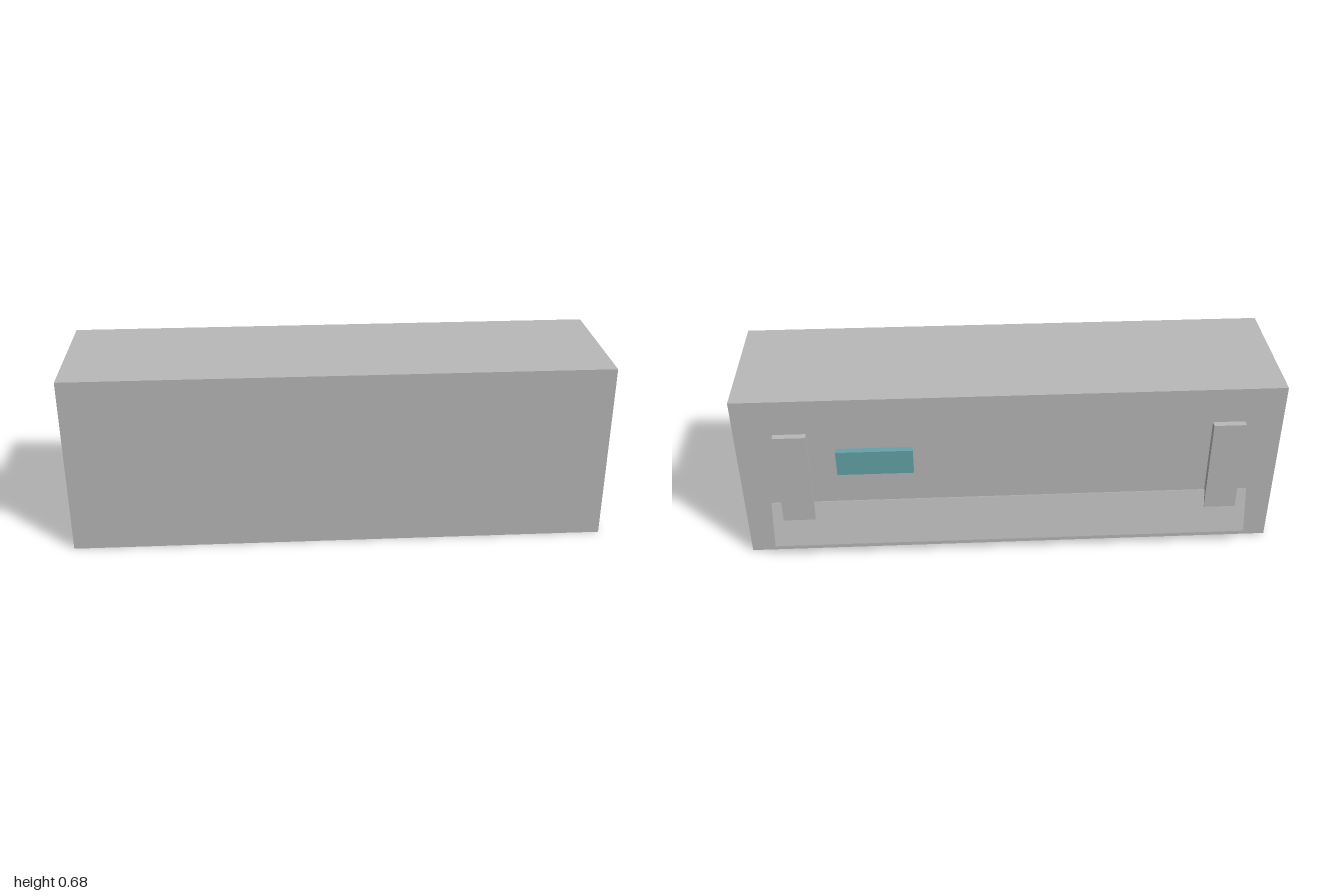
import * as THREE from 'three';

export function createModel() {
  const model = new THREE.Group();
  const grey = new THREE.MeshStandardMaterial({ color: 0xb8b8b8 });
  grey.name = 'light grey';
  const teal = new THREE.MeshStandardMaterial({ color: 0x64a3a7 });
  teal.name = 'teal';

  const addBox = (name, material, size, position) => {
    const mesh = new THREE.Mesh(new THREE.BoxGeometry(...size), material);
    mesh.name = name;
    mesh.position.set(...position);
    model.add(mesh);
    return mesh;
  };

  // Main case
  addBox('body', grey, [2, 0.68, 0.518], [0, 0.34, 0.026]);

  // Mounting straps on the back, running down into the flap
  for (const [name, side] of [['leftStrap', 1], ['rightStrap', -1]]) {
    addBox(name, grey, [0.12, 0.4, 0.035], [side * 0.8, 0.34, -0.2405]);
  }

  // Raised panel beside the left strap
  addBox('panel', teal, [0.28, 0.1, 0.035], [0.5, 0.42, -0.2405]);

  // Long flap, its lower edge tilted away from the back
  const flap = addBox('flap', grey, [1.8, 0.178, 0.039], [0, 0.141, -0.2437]);
  flap.rotation.x = THREE.MathUtils.degToRad(14.7);

  return model;
}
